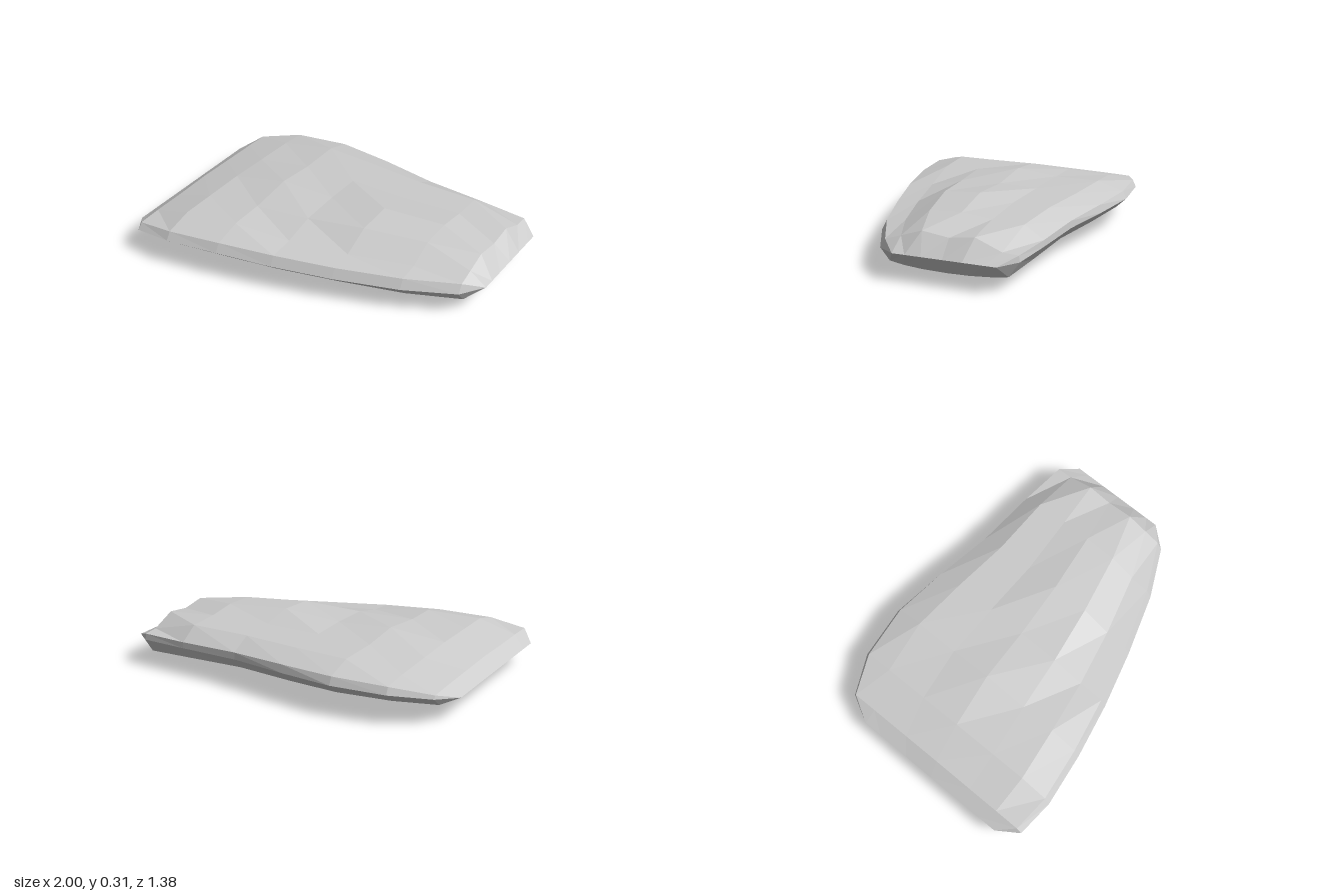
import * as THREE from 'three';

// Stations along x: [x, back z, front z, back edge y, front edge y, lowest y, bottom rim y, back top inset]
const STATIONS = [
  [-0.92, -0.55, 0.675, 0.16, 0.15, 0.06, 0.11, 0.01],
  [-0.70, -0.655, 0.69, 0.175, 0.165, 0.05, 0.125, 0.02],
  [-0.39, -0.695, 0.645, 0.18, 0.17, 0.055, 0.125, 0.02],
  [-0.07, -0.655, 0.575, 0.175, 0.16, 0.042, 0.115, 0.01],
  [0.265, -0.60, 0.48, 0.17, 0.15, 0.02, 0.105, 0.002],
  [0.62, -0.585, 0.36, 0.165, 0.145, 0.003, 0.09, 0.002],
  [0.90, -0.565, 0.22, 0.16, 0.14, 0.05, 0.075, 0.005],
];

// Heights of the top, back to front, for each station
const TOP = [
  [0.18, 0.185, 0.19, 0.195, 0.19, 0.19, 0.185],
  [0.215, 0.23, 0.24, 0.25, 0.25, 0.25, 0.21],
  [0.225, 0.27, 0.27, 0.295, 0.265, 0.262, 0.22],
  [0.22, 0.27, 0.275, 0.28, 0.272, 0.228, 0.215],
  [0.21, 0.27, 0.275, 0.31, 0.295, 0.218, 0.205],
  [0.2, 0.27, 0.275, 0.295, 0.285, 0.215, 0.2],
  [0.195, 0.2, 0.26, 0.24, 0.26, 0.22, 0.19],
];

const ROWS = [0, 0.12, 0.32, 0.51, 0.715, 0.875, 1]; // row spacing back to front
const BOTTOM = [1, 0.5, 0.1, 0, 0.12, 0.45, 1]; // how far the underside rises to its rim

// One closed section: top rows, front edge, bottom rows, back edge
function section([x, back, front, backY, frontY, low, rim, inset], top) {
  const row = (a, b, f) => a + (b - a) * f;
  const upper = ROWS.map((f, i) => [x, top[i], row(back + inset, front - 0.03, f)]);
  const lower = ROWS.map((f, i) =>
    [x, low + (rim - low) * BOTTOM[i], row(back + 0.06, front - 0.055, f)]);
  return [...upper, [x, frontY, front], ...lower.reverse(), [x, backY, back]];
}

// Section flattened to a single edge that closes an end
function endEdge(x, back, front, y) {
  const line = ROWS.map((f) => [x, y, back + (front - back) * f]);
  return [...line, line[6], ...line.slice().reverse(), line[0]];
}

export function createModel() {
  const rings = [
    endEdge(-1, -0.40, 0.55, 0.135),
    ...STATIONS.map((s, i) => section(s, TOP[i])),
    endEdge(1, -0.48, 0.10, 0.152),
  ];

  // Skin the sections, leaving out collapsed triangles at the corners
  const positions = [];
  const same = (p, q) => p.every((v, k) => Math.abs(v - q[k]) < 1e-6);
  const tri = (p, q, r) => {
    if (!same(p, q) && !same(q, r) && !same(p, r)) positions.push(...p, ...q, ...r);
  };
  for (let i = 0; i < rings.length - 1; i++) {
    const n = rings[i].length;
    for (let j = 0; j < n; j++) {
      const k = (j + 1) % n;
      const a = rings[i][j], b = rings[i + 1][j], c = rings[i + 1][k], d = rings[i][k];
      tri(a, d, c);
      tri(a, c, b);
    }
  }
  const geometry = new THREE.BufferGeometry();
  geometry.setAttribute('position', new THREE.Float32BufferAttribute(positions, 3));
  geometry.computeVertexNormals();

  const slab = new THREE.Mesh(
    geometry,
    new THREE.MeshStandardMaterial({ color: 0xcccccc, flatShading: true }),
  );
  slab.name = 'rockSlab';

  const group = new THREE.Group();
  group.name = 'flatRock';
  group.add(slab);
  return group;
}
